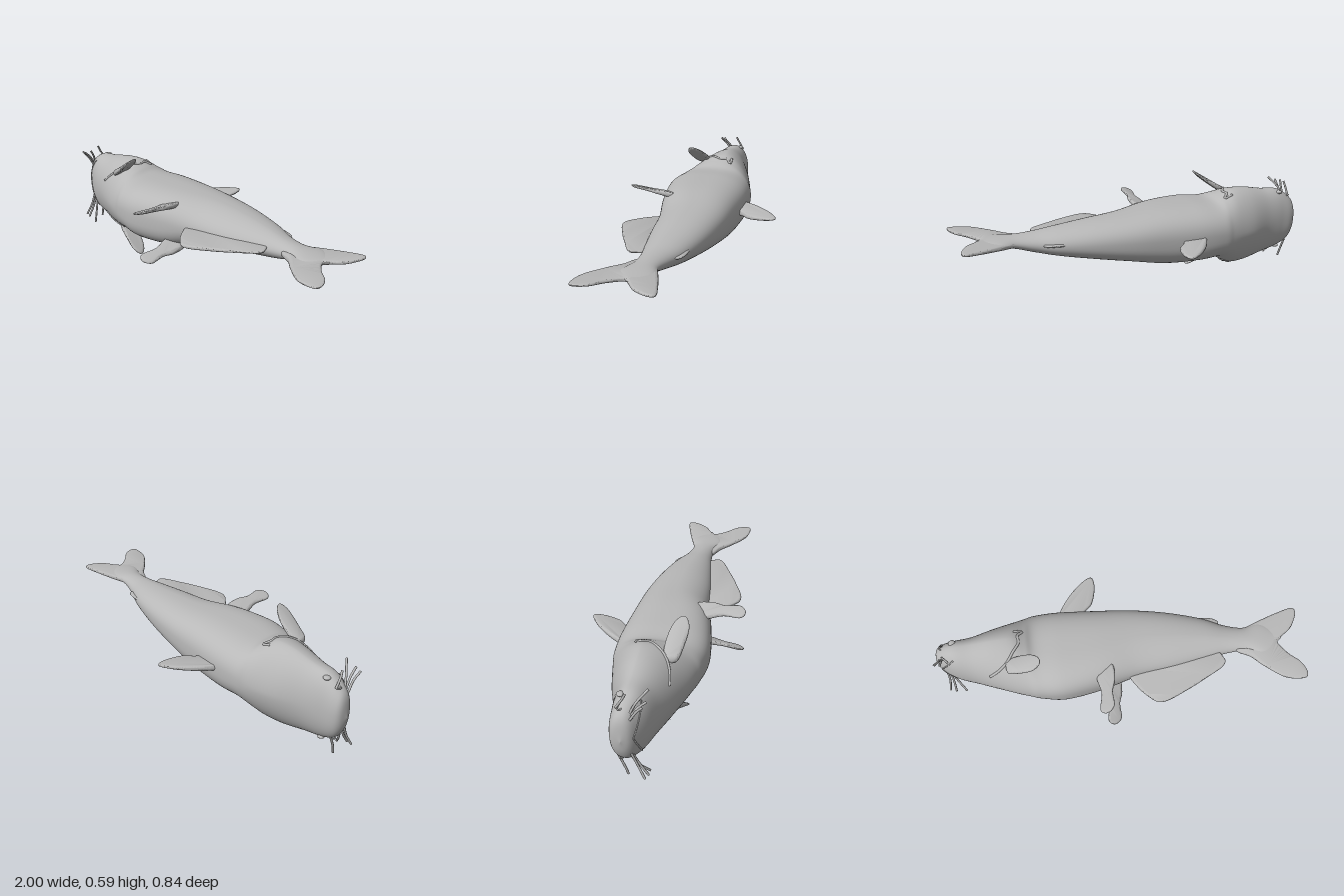
import * as THREE from 'three';
import { toCreasedNormals } from 'three/addons/utils/BufferGeometryUtils.js';

const skin = new THREE.MeshStandardMaterial({ color: 0xb8b8b8 });
skin.name = 'grey skin';

// Body cross-sections: x, back z, belly z, widest z, low y, high y, squareness of back and of belly
const SECTIONS = [
  [-1.0, -0.04, -0.04, -0.04, 0.27, 0.27, 2, 2],
  [-0.985, -0.085, 0.0, -0.04, 0.19, 0.37, 2.2, 2.2],
  [-0.95, -0.105, 0.03, -0.035, 0.13, 0.42, 2.2, 2.2],
  [-0.88, -0.113, 0.072, -0.03, 0.095, 0.463, 2.1, 2.2],
  [-0.78, -0.13, 0.112, -0.03, 0.075, 0.477, 1.9, 2],
  [-0.66, -0.17, 0.162, -0.03, 0.052, 0.503, 1.75, 1.85],
  [-0.56, -0.195, 0.202, -0.03, 0.053, 0.507, 1.75, 1.85],
  [-0.49, -0.21, 0.226, -0.02, 0.088, 0.482, 2, 2.1],
  [-0.43, -0.22, 0.245, 0.0, 0.128, 0.458, 2.4, 2.5],
  [-0.3, -0.22, 0.263, 0.02, 0.13, 0.465, 2.6, 2.7],
  [-0.1, -0.202, 0.237, 0.02, 0.148, 0.468, 2.6, 2.6],
  [0.1, -0.18, 0.195, 0.01, 0.197, 0.458, 2.5, 2],
  [0.3, -0.14, 0.175, 0.02, 0.24, 0.448, 2.3, 1.8],
  [0.48, -0.085, 0.15, 0.04, 0.278, 0.432, 2.1, 1.8],
  [0.6, -0.028, 0.133, 0.06, 0.308, 0.418, 2, 1.9],
  [0.7, 0.003, 0.135, 0.07, 0.342, 0.412, 2, 2],
  [0.8, -0.005, 0.165, 0.08, 0.376, 0.41, 2, 2],
  [0.9, 0.09, 0.09, 0.09, 0.403, 0.403, 2, 2],
];
const spline = new THREE.CubicInterpolant(SECTIONS.map((_, i) => i), SECTIONS.flat(), 8);

// Point on the skin: t is a section number, a turns from belly (0) to the upper flank (PI/2)
function skinPoint(t, a) {
  const [x, z0, z1, cz, y0, y1, nBack, nBelly] = spline.evaluate(t);
  const n = Math.cos(a) > 0 ? nBelly : nBack;
  const round = (v) => Math.sign(v) * Math.pow(Math.abs(v), 2 / n);
  const c = round(Math.cos(a)), s = round(Math.sin(a));
  return new THREE.Vector3(x, (y0 + y1) / 2 + s * (y1 - y0) / 2, cz + c * (c > 0 ? z1 - cz : cz - z0));
}

function bodyGeometry(rings = 120, sides = 72) {
  const pos = [], index = [];
  for (let i = 0; i <= rings; i++) {
    for (let j = 0; j < sides; j++) {
      pos.push(...skinPoint((i / rings) * (SECTIONS.length - 1), (j / sides) * Math.PI * 2).toArray());
      if (i === rings) continue;
      const k = (j + 1) % sides, r = i * sides, q = r + sides;
      index.push(r + j, q + j, r + k, r + k, q + j, q + k);
    }
  }
  const geo = new THREE.BufferGeometry();
  geo.setAttribute('position', new THREE.Float32BufferAttribute(pos, 3));
  geo.setIndex(index);
  geo.computeVertexNormals();
  return geo;
}

// Fin: outline in (x, z), lifted to height(x, z) and thinning away from its root point
function finGeometry(outline, root, thickness, height) {
  const pts = outline.map(([x, z]) => new THREE.Vector2(x, z));
  const shape = new THREE.Shape();
  shape.moveTo(pts[0].x, pts[0].y);
  shape.splineThru([...pts.slice(1), pts[0]]);
  const geo = new THREE.ExtrudeGeometry(shape, {
    depth: thickness * 0.2, bevelThickness: thickness * 0.4, bevelSize: 0.012,
    bevelOffset: -0.012, bevelSegments: 3, curveSegments: 40,
  });
  geo.translate(0, 0, -thickness * 0.1).rotateX(Math.PI / 2);
  const away = (x, z) => Math.hypot(x - root[0], z - root[1]);
  const reach = Math.max(...outline.map(([x, z]) => away(x, z)));
  const p = geo.attributes.position;
  for (let i = 0; i < p.count; i++) {
    const x = p.getX(i), z = p.getZ(i);
    p.setY(i, p.getY(i) * (1 - 0.65 * Math.min(1, away(x, z) / reach)) + height(x, z));
  }
  return toCreasedNormals(geo, 0.9);
}

const tube = (points, radius, steps = 24) =>
  new THREE.TubeGeometry(new THREE.CatmullRomCurve3(points), steps, radius, 8, false);

export function createModel() {
  const fish = new THREE.Group();
  fish.name = 'catfish';
  const add = (name, geo) => {
    const mesh = new THREE.Mesh(geo, skin);
    mesh.name = name;
    fish.add(mesh);
    return mesh;
  };

  add('body', bodyGeometry());

  // Fins on the centre line
  add('tailFin', finGeometry([[0.64, 0.02], [0.72, 0.003], [0.8, -0.025], [0.9, -0.055], [0.985, -0.072], [1, -0.035],
    [0.96, 0.04], [0.9, 0.085], [0.875, 0.115], [0.92, 0.185], [0.975, 0.24], [1, 0.3], [0.98, 0.334], [0.88, 0.315],
    [0.78, 0.235], [0.72, 0.175], [0.64, 0.12]],
  [0.7, 0.07], 0.034, (x) => 0.378 + (x - 0.7) * 0.1));
  add('analFin', finGeometry([[0.03, 0.15], [0.07, 0.23], [0.13, 0.31], [0.21, 0.362], [0.35, 0.315], [0.47, 0.258],
    [0.56, 0.21], [0.575, 0.165], [0.5, 0.1], [0.2, 0.1]], [0.2, 0.1], 0.036, (x) => 0.322 + 0.095 * x));
  add('dorsalFin', finGeometry([[-0.33, -0.17], [-0.26, -0.285], [-0.18, -0.375], [-0.1, -0.424], [-0.08, -0.37],
    [-0.105, -0.27], [-0.16, -0.21], [-0.17, -0.14]], [-0.24, -0.16], 0.042, (x, z) => 0.288 - 0.085 * z));
  add('adiposeFin', finGeometry([[0.4, -0.08], [0.49, -0.085], [0.56, -0.068], [0.572, -0.035], [0.48, 0]],
    [0.45, -0.03], 0.024, () => 0.37));

  // Paired parts: s = 1 is the upper flank, -1 the lower one
  for (const s of [1, -1]) {
    const side = s > 0 ? 'upper' : 'lower';
    const mid = s > 0 ? 0 : 0.59;
    const shift = s > 0 ? 0 : 0.04;

    // Pectoral fins lie low on the gill cover, then curl outwards
    add(side + 'PectoralFin', finGeometry([[-0.6, 0.085], [-0.55, 0.068], [-0.47, 0.08], [-0.42, 0.11], [-0.408, 0.15],
      [-0.45, 0.174], [-0.53, 0.162], [-0.59, 0.14]], [-0.59, 0.11], 0.04,
    (x) => mid + s * (0.45 + (x + 0.6) * 0.55 + (x + 0.6) ** 2 * 0.8))).position.x = shift;

    add(side + 'PelvicFin', finGeometry([[-0.13, 0.14], [-0.125, 0.22], [-0.11, 0.3], [-0.125, 0.39], [-0.09, 0.415],
      [-0.05, 0.38], [-0.05, 0.3], [-0.03, 0.23], [-0.04, 0.14]], [-0.08, 0.14], 0.036,
    (x, z) => mid + (s > 0 ? 0 : 0.035) + s * (0.42 + (z - 0.2) * 0.13 + (x + 0.08) * 0.35))).position.x = shift;

    // Edge of the gill cover: a pointed corner, then a crease down to the throat
    const gill = [[6.2, 1.9], [6.9, 1.87], [6.5, 1.72], [6.55, 1.5], [6.1, 1.25], [5.7, 1.0], [5.2, 0.75], [4.7, 0.5]];
    add(side + 'GillEdge', tube(gill.map(([t, a]) => skinPoint(t, s * a)), 0.007, 60));

    // Eye and nostril
    const eye = add(side + 'Eye', new THREE.SphereGeometry(0.019, 20, 14));
    eye.position.copy(skinPoint(3, s * 1.95));
    eye.scale.y = 0.5;
    const nostril = add(side + 'Nostril', new THREE.TorusGeometry(0.01, 0.004, 8, 16));
    nostril.position.copy(skinPoint(2.1, s * 1.8));
    nostril.rotation.x = Math.PI / 2;

    // Barbels
    const barbels = [
      [[-0.965, 0.38, 0.0], [-0.965, 0.43, 0.03], [-0.978, 0.475, 0.065]],
      [[-0.95, 0.39, 0.0], [-0.945, 0.44, 0.035], [-0.945, 0.48, 0.075]],
      [[-0.95, 0.39, -0.01], [-0.93, 0.45, 0.02], [-0.89, 0.505, 0.07]],
      [[-0.94, 0.42, -0.07], [-0.94, 0.47, -0.04], [-0.935, 0.5, -0.025]],
    ];
    barbels.forEach((b, i) => {
      const pts = b.map(([x, y, z], k) => new THREE.Vector3(x, s > 0 ? y : 0.56 - y - 0.022 * k, z));
      add(side + 'Barbel' + (i + 1), tube(pts, 0.006));
    });
  }

  // Lip line under the snout
  const lip = [];
  for (let i = -6; i <= 6; i++) lip.push(skinPoint(1.5 + Math.abs(i) * 0.25, i * 0.16));
  add('lips', tube(lip, 0.004));

  return fish;
}
